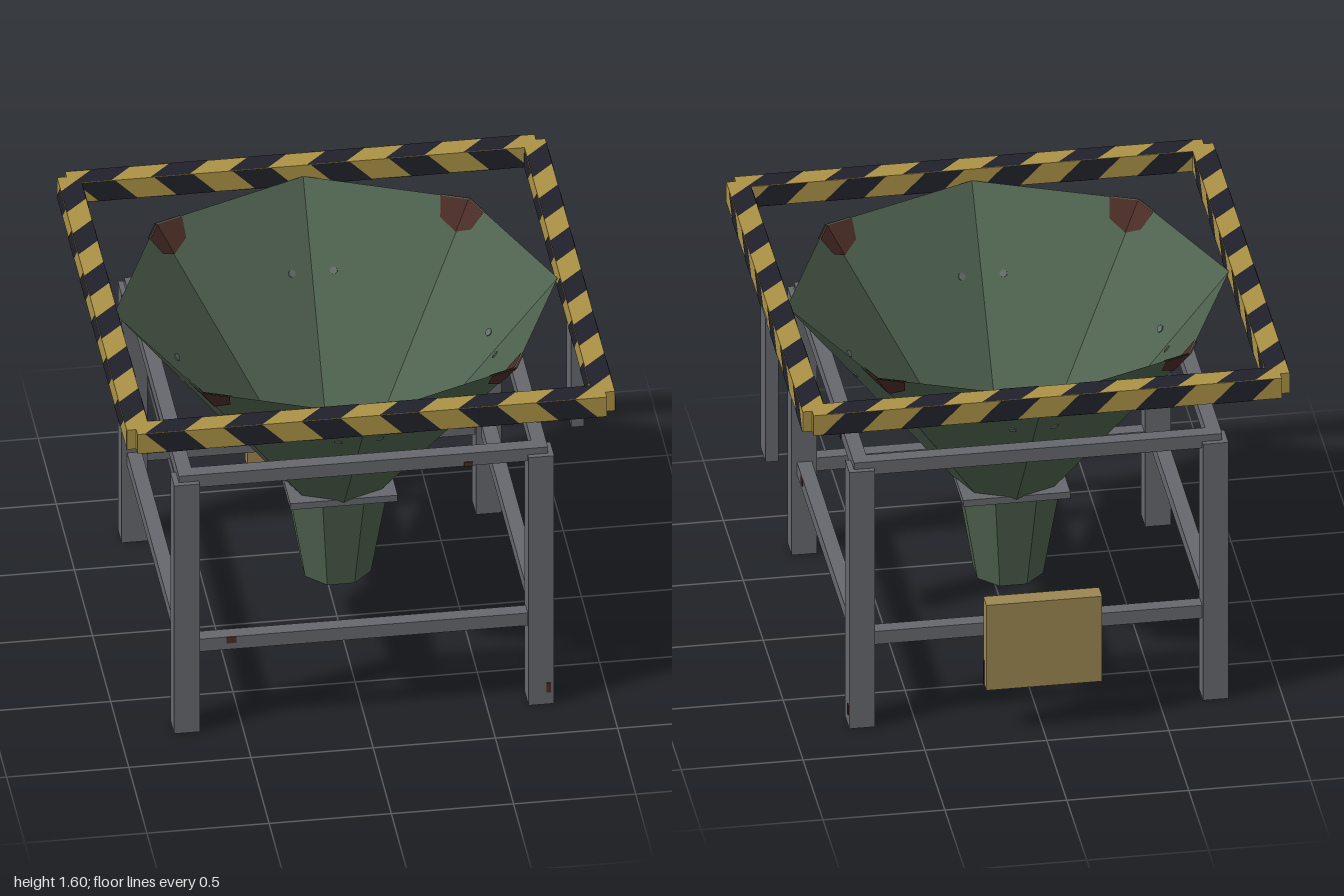
import * as THREE from 'three';

const mat = (name, color, side = THREE.FrontSide) => {
  const m = new THREE.MeshStandardMaterial({ color, side });
  m.name = name;
  m.flatShading = true;
  return m;
};

export function createModel() {
  const green = mat('hopper green', 0x4f624f, THREE.DoubleSide);
  const steel = mat('frame steel', 0x66686e);
  const yellow = mat('hazard yellow', 0xac9346);
  const black = mat('hazard black', 0x21212c, THREE.DoubleSide);
  const ochre = mat('panel ochre', 0x9c8751);
  const rust = mat('rust', 0x4a2c26, THREE.DoubleSide);
  const rivetGrey = mat('rivet grey', 0x646e68);

  const model = new THREE.Group();
  const body = new THREE.Group();
  body.name = 'body';
  body.position.x = -0.004;
  model.add(body);

  const add = (name, geometry, material, x = 0, y = 0, z = 0, parent = body) => {
    const mesh = new THREE.Mesh(geometry, material);
    mesh.name = name;
    mesh.position.set(x, y, z);
    parent.add(mesh);
    return mesh;
  };
  const box = (name, material, w, h, d, x, y, z, parent) =>
    add(name, new THREE.BoxGeometry(w, h, d), material, x, y, z, parent);
  const surface = (points, index) => {
    const g = new THREE.BufferGeometry();
    g.setAttribute('position', new THREE.Float32BufferAttribute(points, 3));
    g.setIndex(index);
    g.computeVertexNormals();
    return g;
  };

  // Frame: four legs with upper and lower rails
  const L = 0.725;
  for (const s of [-1, 1]) {
    for (const t of [-1, 1]) box('leg', steel, 0.105, 1.19, 0.105, s * L, 0.595, t * L);
    box('upperRail', steel, 1.51, 0.06, 0.06, 0, 1.19, s * L);
    box('upperRail', steel, 0.06, 0.06, 1.39, s * L, 1.19, 0);
    box('lowerRail', steel, 1.35, 0.06, 0.06, 0, 0.4, s * L);
    box('lowerRail', steel, 0.06, 0.06, 1.35, s * L, 0.4, 0);
  }

  // Hopper, outlet flange and chute
  const top = 1.54, low = 0.685, rTop = 0.907, rLow = 0.22;
  add('hopper', new THREE.CylinderGeometry(rTop, rLow, top - low, 8, 1, true), green, 0, (top + low) / 2);
  box('outletFlange', steel, 0.44, 0.03, 0.44, 0, 0.685, 0);
  const chute = add('chute', new THREE.CylinderGeometry(0.222, 0.146, 0.435, 8), green, 0, 0.4575);
  chute.rotation.y = Math.PI / 8;

  // Point on the hopper wall: corner number (may be fractional) and height
  const wall = (corner, y, scale = 1) => {
    const r = scale * (rLow + (rTop - rLow) * (y - low) / (top - low));
    const at = (i) => new THREE.Vector3(Math.sin(i * Math.PI / 4) * r, y, Math.cos(i * Math.PI / 4) * r);
    const i = Math.floor(corner);
    return at(i).lerp(at(i + 1), corner - i);
  };

  // Rust around the diagonal hopper corners, inside and out
  for (const i of [1, 3, 5, 7]) {
    for (const scale of [0.993, 1.007]) {
      const fan = [[0, top], [-0.17, top], [-0.13, top - 0.07], [0, top - 0.11], [0.13, top - 0.07], [0.17, top]];
      const points = fan.flatMap(([d, y]) => wall(i + d, y, scale).toArray());
      add('cornerRust', surface(points, [0, 1, 2, 0, 2, 3, 0, 3, 4, 0, 4, 5]), rust);
    }
  }

  // Flat rivets through the hopper wall, either side of the axis corners
  const up = new THREE.Vector3(0, 1, 0);
  for (const i of [0, 2, 4, 6]) {
    for (const s of [-1, 1]) {
      const p = wall(i + s * 0.18, 1.25);
      const a = (i + s / 2) * Math.PI / 4;
      const slope = (rTop - rLow) * Math.cos(Math.PI / 8) / (top - low);
      const normal = new THREE.Vector3(Math.sin(a), -slope, Math.cos(a)).normalize();
      const rivet = add('rivet', new THREE.CylinderGeometry(0.016, 0.016, 0.009, 8), rivetGrey, p.x, p.y, p.z);
      rivet.quaternion.setFromUnitVectors(up, normal);
    }
  }

  // Safety rim: four beams with slanted stripes on their long faces
  const half = 0.96, c = 0.952, h = 0.0465, rimY = 1.5475, period = 0.32, e = 0.002;
  // a runs along the beam, b across the face; a = sign * phase + slant * b
  const stripes = (start, sign, slant, b0, b1, place) => {
    const clamp = (a) => Math.min(half, Math.max(-half, a));
    const points = [], index = [];
    for (let k = -15; k <= 15; k++) {
      const p0 = start + k * period, p1 = p0 + period / 2;
      const quad = [[p0, b0], [p1, b0], [p1, b1], [p0, b1]].map(([p, b]) => [clamp(sign * p + slant * b), b]);
      if (quad.every(([a]) => a === half) || quad.every(([a]) => a === -half)) continue;
      const n = points.length / 3;
      quad.forEach(([a, b]) => points.push(...place(a, b)));
      index.push(n, n + 1, n + 2, n, n + 2, n + 3);
    }
    add('rimStripes', surface(points, index), black);
  };
  for (const s of [-1, 1]) {
    const m = s * c;
    box('rimBeam', yellow, 2 * half, 2 * h, 2 * h, 0, rimY, m);
    box('rimBeam', yellow, 2 * h, 2 * h, 2 * half, m, rimY, 0);
    for (const t of [-1, 1]) {
      const y = rimY + t * (h + e), side = m + t * (h + e);
      stripes(0.07, 1, -1, m - h, m + h, (a, b) => [a, y, b]);
      stripes(0.07, 1, -1, m - h, m + h, (a, b) => [b, y, a]);
      stripes(0.665, 1, -1, rimY - h, rimY + h, (a, b) => [a, b, side]);
      stripes(0.71, -1, 1, rimY - h, rimY + h, (a, b) => [side, b, a]);
    }
  }

  // Hanging side plate and rear panel
  box('sidePlate', steel, 0.052, 0.665, 0.133, 0.974, 1.195, 0.003, model);
  box('rearPanel', ochre, 0.475, 0.395, 0.075, 0, 0.4, -0.872);

  // Small rust patches on the frame
  const f = 0.757, g = 0.779;
  for (const [w, hh, x, y] of [[0.04, 0.03, -0.54, 0.417], [0.035, 0.02, 0.43, 1.17]]) {
    box('rustPatch', rust, w, hh, 0.006, x, y, f);
    box('rustPatch', rust, 0.006, hh, w, f, y, -x);
  }
  box('rustPatch', rust, 0.018, 0.045, 0.006, 0.755, 0.08, g);
  box('rustPatch', rust, 0.006, 0.045, 0.018, g, 0.08, -0.755);
  box('rustPatch', rust, 0.006, 0.11, 0.012, 0.239, 0.26, -0.86);

  return model;
}
